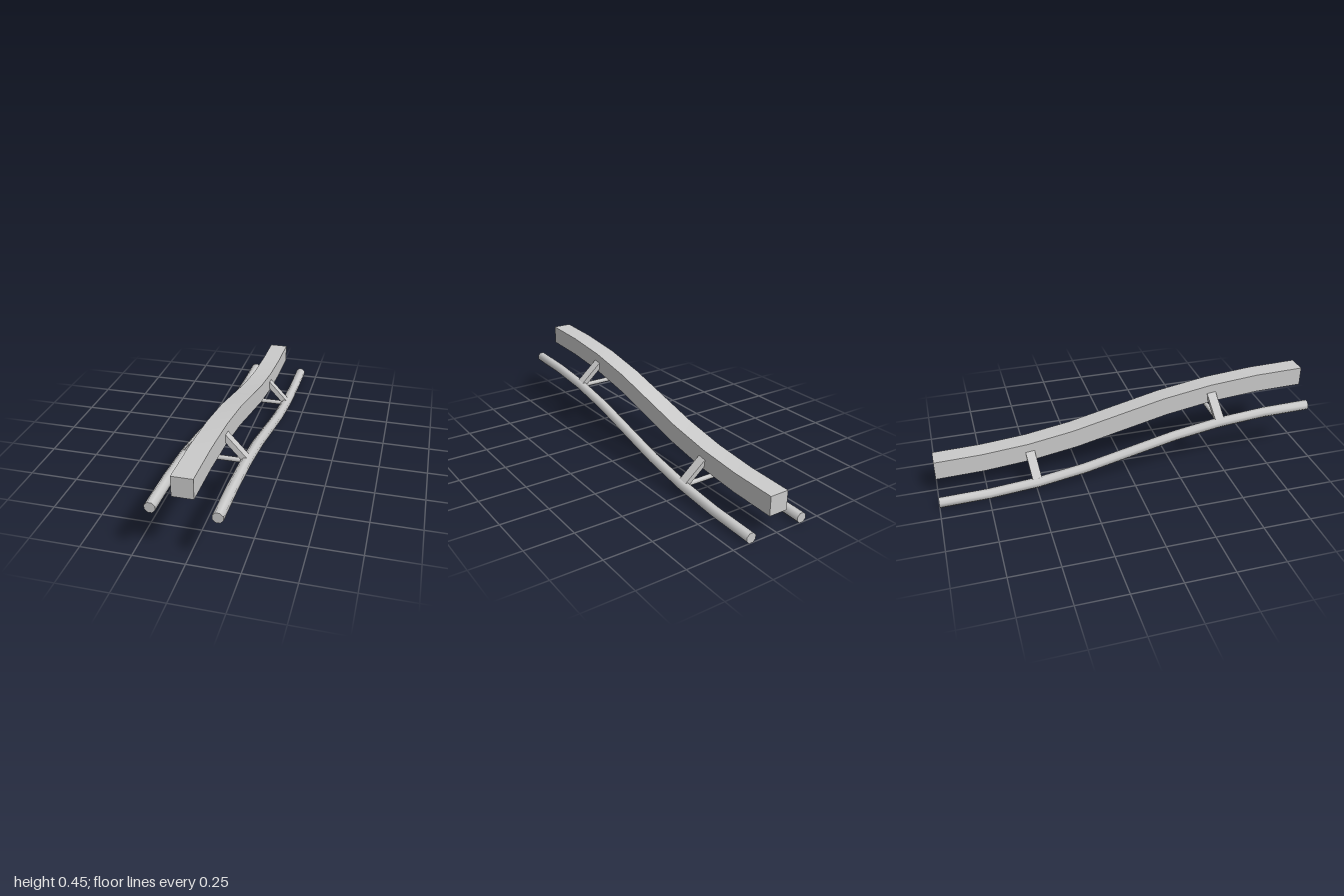
import * as THREE from 'three';

const SEGMENTS = 8;
const material = new THREE.MeshStandardMaterial({ color: 0xcccccc });

// Descending centre line of the track, at rail height
const path = new THREE.CubicBezierCurve3(
  new THREE.Vector3(0, 0.275, 1),
  new THREE.Vector3(0, 0.275, 0),
  new THREE.Vector3(0, 0.025, 0),
  new THREE.Vector3(0, 0.025, -1)
);

// Point and upward normal at a fraction of the path's length
function frameAt(u) {
  const point = path.getPointAt(u);
  const t = path.getTangentAt(u);
  return { point, up: new THREE.Vector3(0, -t.z, t.y) };
}

// Sweep a counter-clockwise [x, height] profile along the path, with end caps
function sweep(profile, hardEdges) {
  const positions = [], index = [];
  const n = profile.length;
  const rings = [];
  for (let i = 0; i <= SEGMENTS; i++) {
    const { point, up } = frameAt(i / SEGMENTS);
    rings.push(profile.map(([x, h]) => point.clone().addScaledVector(up, h).setX(x)));
  }
  const add = (v) => positions.push(v.x, v.y, v.z) / 3 - 1;
  const strip = (a, b) => {
    for (let i = 0; i < SEGMENTS; i++) {
      index.push(a[i], a[i + 1], b[i], b[i], a[i + 1], b[i + 1]);
    }
  };
  const column = (k) => rings.map((ring) => add(ring[k % n]));
  const shared = hardEdges ? null : profile.map((_, k) => column(k));
  for (let k = 0; k < n; k++) {
    if (hardEdges) strip(column(k), column(k + 1));
    else strip(shared[k], shared[(k + 1) % n]);
  }
  const front = rings[0].map(add);
  const back = rings[SEGMENTS].map(add);
  for (let k = 1; k < n - 1; k++) {
    index.push(front[0], front[k], front[k + 1]);
    index.push(back[0], back[k + 1], back[k]);
  }
  const geometry = new THREE.BufferGeometry();
  geometry.setAttribute('position', new THREE.Float32BufferAttribute(positions, 3));
  geometry.setIndex(index);
  geometry.computeVertexNormals();
  return geometry;
}

function part(name, geometry) {
  const mesh = new THREE.Mesh(geometry, material);
  mesh.name = name;
  return mesh;
}

// Cross tie: a round bar between the rails and two braces up to the spine
function createTie(name, u) {
  const tie = new THREE.Group();
  tie.name = name;
  const bar = part('crossBar', new THREE.CylinderGeometry(0.0125, 0.0125, 0.3, 8));
  bar.rotation.z = Math.PI / 2;
  tie.add(bar);
  for (const side of [1, -1]) {
    const brace = part(side > 0 ? 'leftBrace' : 'rightBrace', new THREE.BoxGeometry(0.028, 0.155, 0.048));
    brace.position.set(side * 0.095, 0.065, 0);
    brace.rotation.z = side * Math.PI / 4;
    tie.add(brace);
  }
  const { point, up } = frameAt(u);
  tie.position.copy(point);
  tie.rotation.x = Math.atan2(up.z, up.y);
  return tie;
}

export function createModel() {
  const track = new THREE.Group();
  track.name = 'track';

  // Square spine beam above the rails
  track.add(part('spineBeam', sweep([[-0.05, 0.075], [0.05, 0.075], [0.05, 0.175], [-0.05, 0.175]], true)));

  // Two octagonal rails
  const radius = 0.025 / Math.cos(Math.PI / 8);
  for (const side of [1, -1]) {
    const profile = Array.from({ length: 8 }, (_, k) => {
      const a = ((k + 0.5) * Math.PI) / 4;
      return [side * 0.15 + radius * Math.cos(a), radius * Math.sin(a)];
    });
    track.add(part(side > 0 ? 'leftRail' : 'rightRail', sweep(profile, false)));
  }

  // Ties at one and three quarters of the length
  track.add(createTie('frontTie', 0.25), createTie('backTie', 0.75));
  return track;
}
